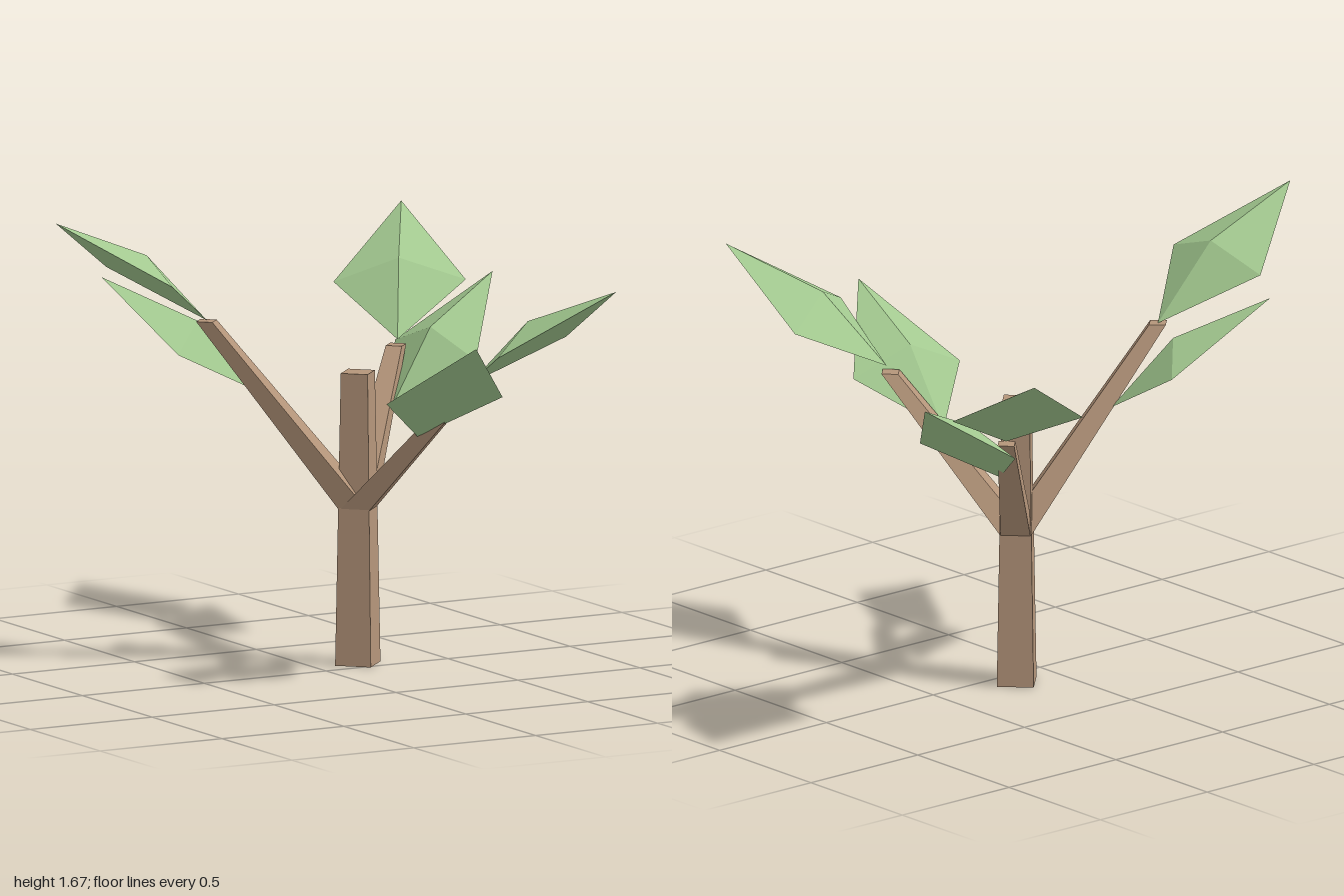
import * as THREE from 'three';

const bark = new THREE.MeshStandardMaterial({ name: 'bark brown', color: 0xb4957a, flatShading: true });
const green = new THREE.MeshStandardMaterial({ name: 'leaf green', color: 0xa2c88f, flatShading: true });

const V = (p) => new THREE.Vector3(...p);

// Four-sided tapered limb with level ends, slanted from one point to another
function limb(name, from, to, r0, r1) {
  const h = to[1] - from[1];
  const geo = new THREE.CylinderGeometry(r1, r0, h, 4);
  geo.translate(0, h / 2, 0);
  const p = geo.attributes.position;
  for (let i = 0; i < p.count; i++) {
    const t = p.getY(i) / h;
    p.setX(i, p.getX(i) + (to[0] - from[0]) * t);
    p.setZ(i, p.getZ(i) + (to[2] - from[2]) * t);
  }
  geo.computeVertexNormals();
  const mesh = new THREE.Mesh(geo, bark);
  mesh.position.set(...from);
  mesh.name = name;
  return mesh;
}

// Kite-shaped leaf: raised centre on top, nearly flat underneath
function leaf(name, base, tip, sideA, sideB) {
  const b = V(base), t = V(tip);
  let l = V(sideA), r = V(sideB);
  const axis = t.clone().sub(b);
  const n = axis.clone().cross(l.clone().sub(r)).normalize();
  if (n.y < 0) {
    n.negate();
    [l, r] = [r, l];
  }
  const m = b.clone().addScaledVector(axis, 0.47).addScaledVector(n, 0.08);
  const corners = [
    b, r, m, r, t, m, t, l, m, l, b, m, // top
    b, t, r, b, l, t, // underside
  ];
  const geo = new THREE.BufferGeometry().setFromPoints(corners);
  geo.computeVertexNormals();
  const mesh = new THREE.Mesh(geo, green);
  mesh.name = name;
  return mesh;
}

export function createModel() {
  const group = new THREE.Group();
  group.name = 'sapling';

  group.add(limb('trunk', [0.173, 0, -0.075], [0.173, 1.055, -0.075], 0.093, 0.07));

  // Each branch carries one leaf at its end and one lower down: base, tip, two sides
  const fork = [0.173, 0.56, -0.075];
  const branches = [
    {
      name: 'right', end: [-0.365, 1.265, -0.22],
      leaves: [
        [[-0.36, 1.265, -0.225], [-0.98, 1.67, -0.225], [-0.635, 1.445, 0.01], [-0.635, 1.445, -0.465]],
        [[-0.155, 0.99, -0.21], [-0.6, 1.39, -0.56], [-0.19, 1.155, -0.5], [-0.48, 1.15, -0.22]],
      ],
    },
    {
      name: 'front', end: [0.315, 1.06, 0.45],
      leaves: [
        [[0.32, 1.08, 0.465], [0.62, 1.47, 0.995], [0.655, 1.24, 0.575], [0.24, 1.235, 0.81]],
        [[0.22, 0.87, 0.27], [0.14, 1.28, 0.83], [-0.01, 1.035, 0.45], [0.42, 1.035, 0.53]],
      ],
    },
    {
      name: 'back', end: [0.55, 1.06, -0.46],
      leaves: [
        [[0.565, 1.075, -0.475], [0.88, 1.467, -0.998], [0.5, 1.235, -0.82], [0.905, 1.245, -0.58]],
        [[0.435, 0.87, -0.29], [0.975, 1.28, -0.51], [0.72, 1.03, -0.185], [0.62, 1.05, -0.59]],
      ],
    },
  ];
  for (const { name, end, leaves } of branches) {
    const part = new THREE.Group();
    part.name = name + 'Branch';
    part.add(limb(name + 'Limb', fork, end, 0.076, 0.042));
    leaves.forEach((points, i) => part.add(leaf(name + (i ? 'LowerLeaf' : 'EndLeaf'), ...points)));
    group.add(part);
  }
  return group;
}
